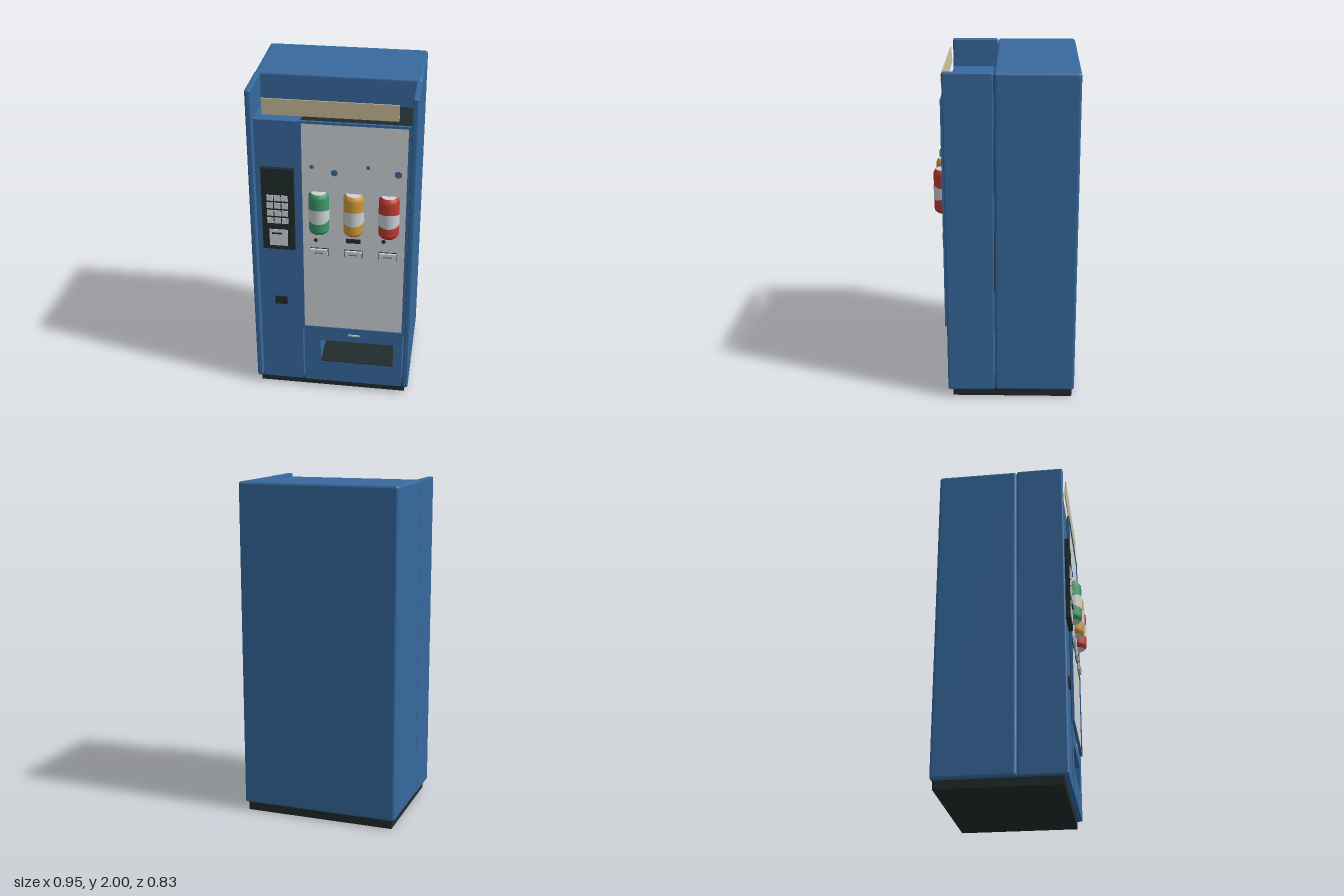
import * as THREE from 'three';
import { RoundedBoxGeometry } from 'three/addons/geometries/RoundedBoxGeometry.js';

const mat = (name, color) => {
  const m = new THREE.MeshStandardMaterial({ color });
  m.name = name;
  return m;
};

export function createModel() {
  const model = new THREE.Group();
  model.name = 'vendingMachine';
  const blue = mat('cabinet blue', 0x36699e);
  const dark = mat('charcoal', 0x212b2b);
  const white = mat('panel white', 0xcdd2d6);
  const cream = mat('sign cream', 0xcdc09b);
  const green = mat('green', 0x3c9a68);
  const yellow = mat('amber', 0xcf9a3a);
  const red = mat('red', 0xc23a30);
  const label = white.clone();
  label.name = 'label white';
  label.side = THREE.DoubleSide;

  const add = (name, geo, material, x = 0, y = 0, z = 0, parent = model) => {
    const mesh = new THREE.Mesh(geo, material);
    mesh.name = name;
    mesh.position.set(x, y, z);
    parent.add(mesh);
    return mesh;
  };
  // Box given by its limits on each axis
  const box = (name, material, x0, x1, y0, y1, z0, z1, r = 0) => {
    const s = [x1 - x0, y1 - y0, z1 - z0];
    const geo = r ? new RoundedBoxGeometry(...s, 3, r) : new THREE.BoxGeometry(...s);
    return add(name, geo, material, (x0 + x1) / 2, (y0 + y1) / 2, (z0 + z1) / 2);
  };
  const rectangle = (Type, x0, x1, y0, y1) => {
    const s = new Type();
    s.moveTo(x0, y0).lineTo(x1, y0).lineTo(x1, y1).lineTo(x0, y1).closePath();
    return s;
  };
  // Rectangular block with a rectangular hole through it
  const framed = (name, outer, hole, z0, z1) => {
    const s = rectangle(THREE.Shape, ...outer);
    s.holes.push(rectangle(THREE.Path, ...hole));
    const geo = new THREE.ExtrudeGeometry(s, { depth: z1 - z0, bevelEnabled: false });
    return add(name, geo, blue, 0, 0, z0);
  };

  // Cabinet, plinth and door cheeks
  box('plinth', dark, -0.455, 0.455, 0, 0.055, -0.4, 0.315);
  box('cabinet', blue, -0.477, 0.477, 0.05, 2, -0.415, 0.063, 0.018);
  for (const s of [-1, 1]) {
    const cx = s * 0.46;
    box('doorCheek', blue, cx - 0.017, cx + 0.017, 0.05, 2, 0.065, 0.345, 0.01);
  }

  // Coin column
  box('coinColumn', blue, -0.435, -0.18, 0.055, 1.83, 0.063, 0.34);
  box('coinReturn', dark, -0.345, -0.27, 0.617, 0.67, 0.335, 0.347);

  // Display case with its frame and panel
  box('displayCase', dark, -0.172, 0.438, 0.46, 1.83, 0.063, 0.343);
  framed('displayFrame', [-0.182, 0.443, 0.46, 1.842], [-0.165, 0.428, 0.476, 1.828], 0.343, 0.358);
  box('displayPanel', white, -0.165, 0.428, 0.476, 1.828, 0.343, 0.352);

  // Delivery hatch
  framed('hatchHousing', [-0.17, 0.435, 0.055, 0.46], [-0.07, 0.38, 0.205, 0.366], 0.07, 0.343);
  box('hatchBack', dark, -0.07, 0.38, 0.205, 0.366, 0.13, 0.137);
  box('hatchFloor', dark, -0.07, 0.38, 0.205, 0.21, 0.13, 0.342);
  box('hatchHandle', white, 0.1, 0.17, 0.413, 0.424, 0.342, 0.348);

  // Header sign, leaning slightly forward
  box('headerSign', cream, -0.382, 0.375, 1.868, 1.965, 0.349, 0.355).rotation.x = 0.06;

  // Keypad and notice
  box('keypadPanel', dark, -0.4, -0.212, 1.018, 1.543, 0.338, 0.365);
  for (let row = 0; row < 4; row++) {
    for (let col = 0; col < 3; col++) {
      const x = -0.37 + col * 0.043, y = 1.193 + row * 0.049;
      box('key', white, x, x + 0.037, y, y + 0.036, 0.363, 0.37);
    }
  }
  box('notice', white, -0.36, -0.252, 1.045, 1.152, 0.363, 0.369);
  box('noticeSlot', dark, -0.345, -0.285, 1.125, 1.132, 0.368, 0.376);

  // Sample cans: faceted half-round body, pale lid and wrapped label
  const canProfile = [[0.044, -0.13], [0.057, -0.115], [0.059, -0.1], [0.059, 0.1], [0.057, 0.115], [0.045, 0.13]]
    .map(([r, y]) => new THREE.Vector2(r, y));
  const canGeo = new THREE.LatheGeometry(canProfile, 8, -Math.PI / 2, Math.PI);
  const lidGeo = new THREE.CircleGeometry(0.045, 8, 0, Math.PI).rotateX(-Math.PI / 2);
  lidGeo.rotateY(0);
  const labelGeo = new THREE.CylinderGeometry(0.0605, 0.0605, 0.09, 16, 1, true, -Math.PI / 2, Math.PI);
  const p = labelGeo.attributes.position;
  for (let i = 0; i < p.count; i++) {
    p.setY(i, p.getY(i) * (0.65 + 0.35 * Math.max(0, p.getZ(i)) / 0.0605));
  }
  [[-0.07, green], [0.13, yellow], [0.332, red]].forEach(([x, colour]) => {
    const can = new THREE.Group();
    can.name = 'sampleCan';
    can.position.set(x, 1.28, 0.354);
    model.add(can);
    add('canBody', canGeo, colour, 0, 0, 0, can);
    // Half discs facing up and down close the can
    const lid = add('canLid', lidGeo, label, 0, 0.13, 0, can);
    lid.rotation.y = Math.PI;
    add('canBottom', lidGeo, label, 0, -0.13, 0, can).rotation.y = Math.PI;
    add('canLabel', labelGeo, label, 0, -0.008, 0, can);

    // Selection button under each can
    box('buttonSurround', dark, x - 0.053, x + 0.053, 0.989, 1.038, 0.35, 0.356);
    box('selectionButton', white, x - 0.05, x + 0.05, 0.992, 1.035, 0.35, 0.37);
    box('buttonStripe', green, x - 0.025, x + 0.025, 1.01, 1.017, 0.368, 0.372);
  });

  // Small printed marks on the panel
  box('priceMark', dark, 0.088, 0.172, 1.085, 1.113, 0.35, 0.356);
  const dot = (name, material, x, y, r) => {
    const geo = new THREE.CylinderGeometry(r, r, 0.006, 6).rotateX(Math.PI / 2);
    add(name, geo, material, x, y, 0.354);
  };
  dot('priceDot', dark, -0.09, 1.09, 0.012);
  dot('priceDot', dark, 0.305, 1.11, 0.013);
  [[-0.108, 1.565, 0.013], [0.02, 1.535, 0.02], [0.21, 1.58, 0.012], [0.378, 1.547, 0.022]]
    .forEach(([x, y, r]) => dot('splashDot', blue, x, y, r));

  return model;
}
